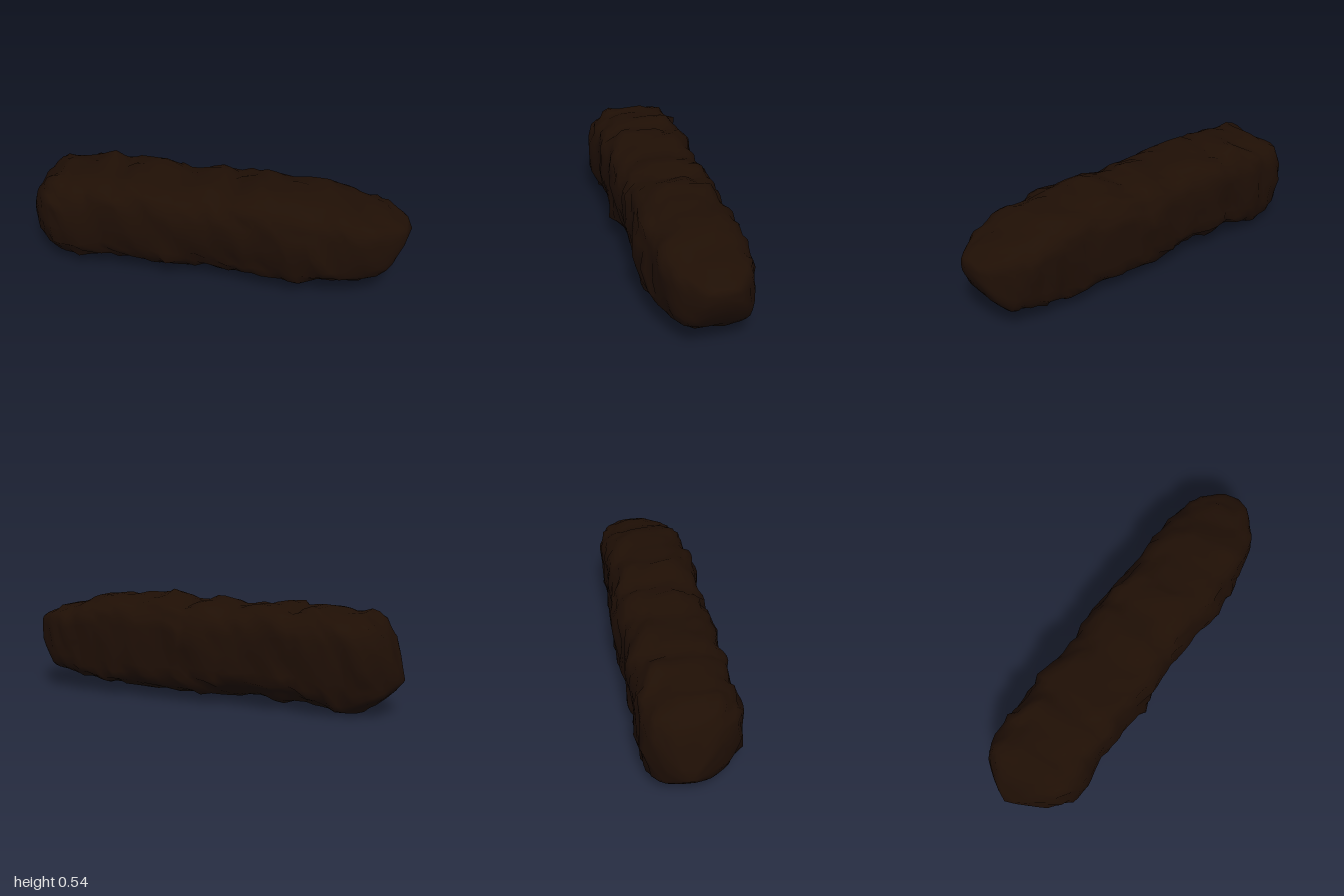
import * as THREE from 'three';

// Outline stations along the log: x, top y, bottom y, back z, front z
const STATIONS = [
  [-1, 0.21, 0.21, -0.04, -0.04],
  [-0.96, 0.31, 0.16, -0.13, 0.05],
  [-0.92, 0.43, 0.12, -0.18, 0.12],
  [-0.87, 0.49, 0.08, -0.23, 0.2],
  [-0.8, 0.53, 0.05, -0.25, 0.24],
  [-0.75, 0.53, 0.04, -0.25, 0.25],
  [-0.66, 0.54, 0.04, -0.26, 0.25],
  [-0.57, 0.56, 0.05, -0.25, 0.25],
  [-0.47, 0.54, 0.07, -0.25, 0.24],
  [-0.4, 0.56, 0.06, -0.26, 0.24],
  [-0.2, 0.54, 0.07, -0.25, 0.25],
  [-0.15, 0.53, 0.07, -0.25, 0.25],
  [0, 0.56, 0.07, -0.26, 0.23],
  [0.08, 0.54, 0.06, -0.26, 0.23],
  [0.25, 0.57, 0.06, -0.25, 0.23],
  [0.32, 0.56, 0.05, -0.25, 0.24],
  [0.42, 0.56, 0.06, -0.25, 0.26],
  [0.6, 0.54, 0.07, -0.24, 0.24],
  [0.67, 0.54, 0.08, -0.24, 0.23],
  [0.74, 0.5, 0.09, -0.24, 0.22],
  [0.85, 0.48, 0.12, -0.22, 0.18],
  [0.92, 0.45, 0.2, -0.17, 0.12],
  [0.97, 0.42, 0.29, -0.13, 0.07],
  [1, 0.39, 0.39, -0.02, -0.02],
];

// Knobs standing out of the bark: x, y, z, radius
const KNOBS = [
  [-0.75, 0.0, 0.0, 0.08],
  [-0.74, 0.02, -0.18, 0.08],
  [-0.57, 0.575, -0.16, 0.06],
  [0.0, 0.58, 0.1, 0.06],
  [0.25, 0.605, 0.03, 0.07],
  [0.67, 0.58, 0.13, 0.05],
  [0.32, 0.04, -0.05, 0.05],
  [-0.2, 0.15, 0.27, 0.06],
  [0.07, 0.37, -0.27, 0.06],
  [0.42, 0.3, 0.26, 0.06],
];

function sectionAt(x) {
  let i = 1;
  while (i < STATIONS.length - 1 && STATIONS[i][0] < x) i++;
  const a = STATIONS[i - 1], b = STATIONS[i];
  const t = (x - a[0]) / (b[0] - a[0]);
  return a.map((v, k) => THREE.MathUtils.lerp(v, b[k], t));
}

// Repeatable value noise in 0..1
function hash(i, j, k) {
  const s = Math.sin(i * 127.1 + j * 311.7 + k * 74.7) * 43758.5453;
  return s - Math.floor(s);
}

function noise(x, y, z) {
  const c = [x, y, z].map(Math.floor);
  const f = [x - c[0], y - c[1], z - c[2]].map(t => t * t * (3 - 2 * t));
  let sum = 0;
  for (let n = 0; n < 8; n++) {
    const d = [n & 1, (n >> 1) & 1, n >> 2];
    const w = d.reduce((p, on, q) => p * (on ? f[q] : 1 - f[q]), 1);
    sum += w * hash(c[0] + d[0], c[1] + d[1], c[2] + d[2]);
  }
  return sum;
}

// Rounded-square rings lofted along x, roughened and closed with a point at each end
function barkGeometry(rings = 50, sides = 30) {
  const positions = [], index = [];
  const roundPower = 2 / 3.3;
  const squarish = v => Math.sign(v) * Math.abs(v) ** roundPower;
  const point = new THREE.Vector3(), knob = new THREE.Vector3();

  for (let r = 1; r < rings; r++) {
    const x = -Math.cos((r / rings) * Math.PI) * 0.4 + (2 * r / rings - 1) * 0.6;
    const [, top, bottom, back, front] = sectionAt(x);
    const cy = (top + bottom) / 2, cz = (back + front) / 2;
    const endFade = Math.min(1, (1 - Math.abs(x)) * 7);
    for (let s = 0; s < sides; s++) {
      const a = (s / sides) * Math.PI * 2;
      const u = squarish(Math.cos(a)), v = squarish(Math.sin(a));
      const y = v * (top - bottom) / 2, z = u * (front - back) / 2;
      // Coarse lumps and fine bark, mostly cut inward from the outline
      const lump = noise(x * 7 + 20, y * 9 + 20, z * 9 + 20);
      const grain = noise(x * 19 + 50, y * 22 + 50, z * 22 + 50);
      let k = 1 + endFade * (0.09 * (lump - 0.75) + 0.15 * (grain - 0.6));
      // Chamfered lower front and upper front edges
      k -= endFade * Math.max(0, u) * (v < 0 ? -0.09 * v : 0.04 * v);
      const shift = endFade * 0.04 * (noise(x * 12 + 80, y * 16 + 80, z * 16 + 80) - 0.5);
      point.set(x + shift, cy + y * k, cz + z * k);
      for (const [kx, ky, kz, radius] of KNOBS) {
        knob.set(kx, ky, kz);
        const d = point.distanceTo(knob) / radius;
        point.lerp(knob, 0.75 * Math.exp(-d * d));
      }
      positions.push(point.x, Math.max(0, point.y), point.z);
    }
  }

  // Side walls
  for (let r = 0; r < rings - 2; r++) {
    for (let s = 0; s < sides; s++) {
      const n = (s + 1) % sides;
      const a = r * sides + s, b = r * sides + n;
      index.push(a, a + sides, b, b, a + sides, b + sides);
    }
  }

  // End points
  const left = positions.length / 3, right = left + 1;
  positions.push(-1, 0.21, -0.04, 1, 0.39, -0.02);
  const last = (rings - 2) * sides;
  for (let s = 0; s < sides; s++) {
    const n = (s + 1) % sides;
    index.push(left, s, n, right, last + n, last + s);
  }

  const geometry = new THREE.BufferGeometry();
  geometry.setAttribute('position', new THREE.Float32BufferAttribute(positions, 3));
  geometry.setIndex(index);
  geometry.computeVertexNormals();
  return geometry;
}

export function createModel() {
  const group = new THREE.Group();
  group.name = 'log';
  const bark = new THREE.Mesh(
    barkGeometry(),
    new THREE.MeshStandardMaterial({ color: 0x1f0f05 })
  );
  bark.name = 'roughBody';
  group.add(bark);
  return group;
}
